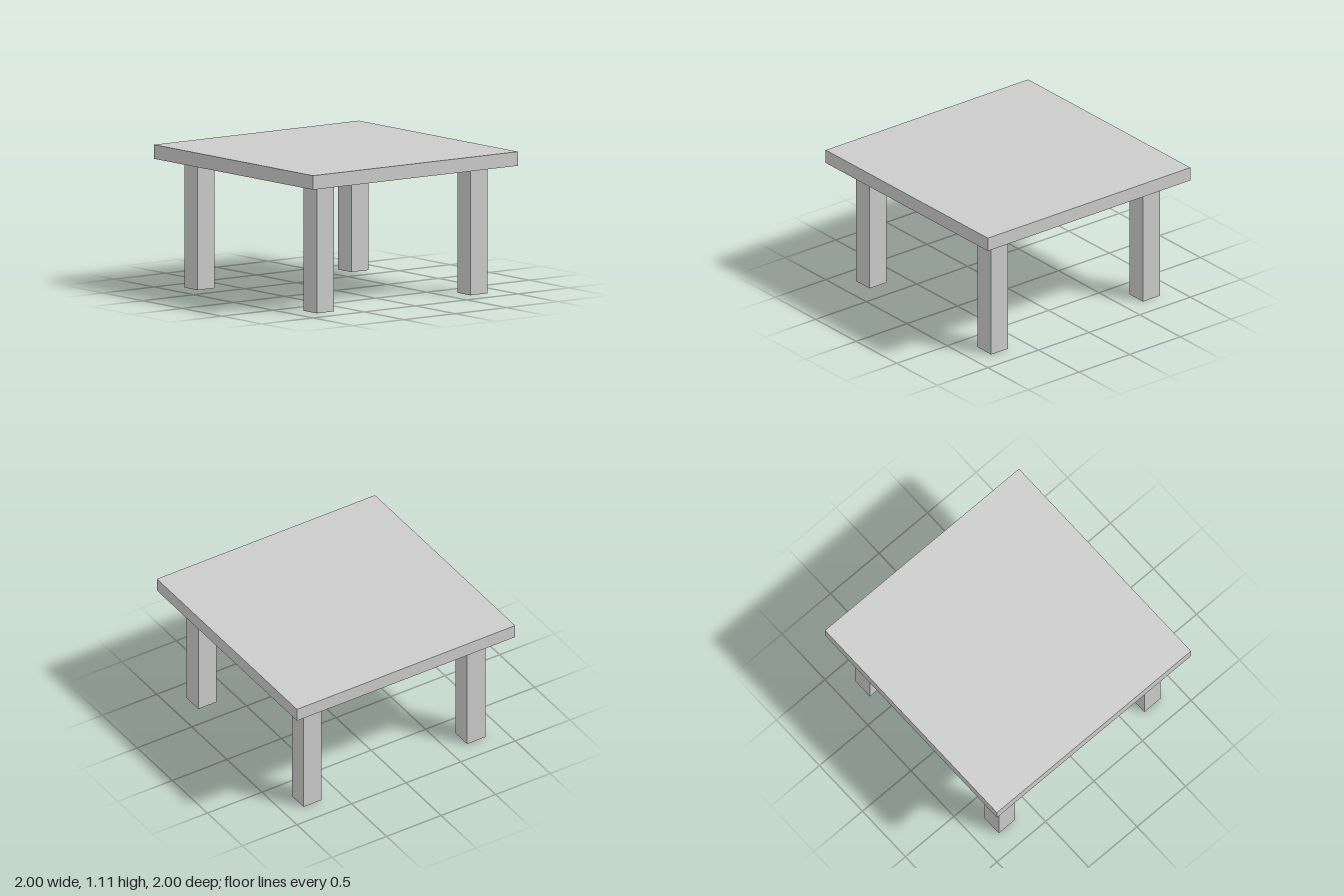
import * as THREE from 'three';

const LEG_HEIGHT = 1;
const LEG_WIDTH = 1 / 6;
const LEG_OFFSET = 0.75;
const TOP_SIZE = 2;
const TOP_THICKNESS = 0.11;

export function createModel() {
  const table = new THREE.Group();
  table.name = 'table';
  const material = new THREE.MeshStandardMaterial({ color: 0xcccccc });

  // Square slab resting on the legs
  const top = new THREE.Mesh(new THREE.BoxGeometry(TOP_SIZE, TOP_THICKNESS, TOP_SIZE), material);
  top.name = 'tableTop';
  top.position.y = LEG_HEIGHT + TOP_THICKNESS / 2;
  table.add(top);

  // Four square legs, set in from the corners
  const legGeometry = new THREE.BoxGeometry(LEG_WIDTH, LEG_HEIGHT, LEG_WIDTH);
  for (const [sideName, sx] of [['Left', 1], ['Right', -1]]) {
    for (const [endName, sz] of [['front', 1], ['back', -1]]) {
      const leg = new THREE.Mesh(legGeometry, material);
      leg.name = `${endName}${sideName}Leg`;
      leg.position.set(sx * LEG_OFFSET, LEG_HEIGHT / 2, sz * LEG_OFFSET);
      table.add(leg);
    }
  }
  return table;
}
